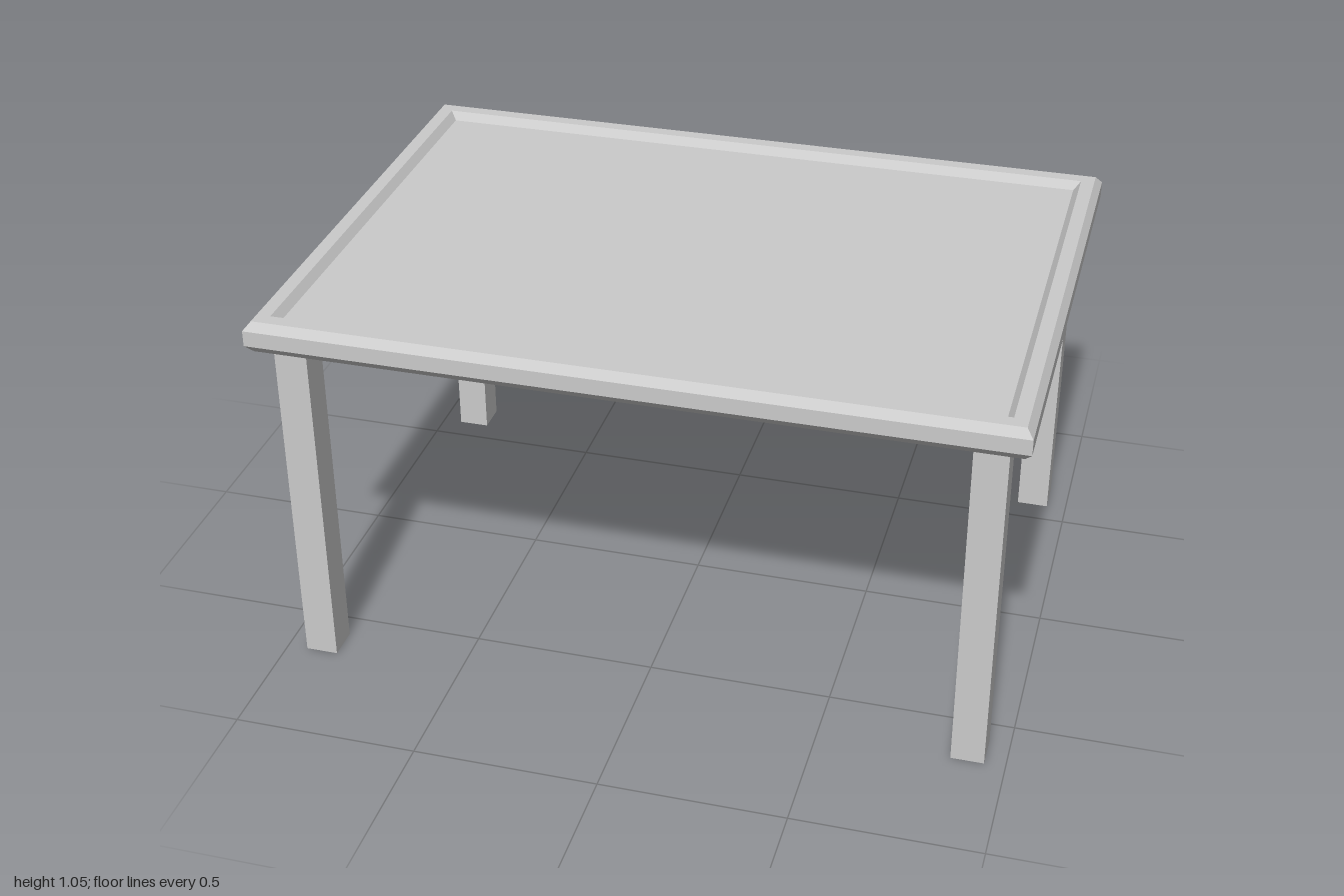
import * as THREE from 'three';

const material = new THREE.MeshStandardMaterial({ color: 0xcccccc, flatShading: true });

// Half-extents and profile of the tabletop
const HALF_X = 1, HALF_Z = 0.715;
const BOTTOM = 0.963, TOP = 1.05, BEVEL = 0.018, RISE = 0.022;

// Stack of mitred rectangles [inset, height], capped at both ends
function rectangularLoft(profile) {
  const corners = [[-1, 1], [1, 1], [1, -1], [-1, -1]];
  const rings = profile.map(([inset, y]) =>
    corners.map(([sx, sz]) => [sx * (HALF_X - inset), y, sz * (HALF_Z - inset)]));
  const positions = [];
  const quad = (a, b, c, d) => positions.push(...a, ...b, ...c, ...a, ...c, ...d);
  for (let i = 0; i < rings.length - 1; i++) {
    for (let k = 0; k < 4; k++) {
      const n = (k + 1) % 4;
      quad(rings[i][k], rings[i][n], rings[i + 1][n], rings[i + 1][k]);
    }
  }
  const first = rings[0], last = rings[rings.length - 1];
  quad(first[3], first[2], first[1], first[0]);
  quad(last[0], last[1], last[2], last[3]);
  const geometry = new THREE.BufferGeometry();
  geometry.setAttribute('position', new THREE.Float32BufferAttribute(positions, 3));
  geometry.computeVertexNormals();
  return geometry;
}

export function createModel() {
  const group = new THREE.Group();
  group.name = 'table';

  // Bevelled top: outer edge, raised rim, then the sunken panel
  const tabletop = new THREE.Mesh(rectangularLoft([
    [BEVEL, BOTTOM],
    [0, BOTTOM + RISE],
    [0, TOP - RISE],
    [BEVEL, TOP],
    [0.055, TOP],
    [0.055 + BEVEL, TOP - RISE],
  ]), material);
  tabletop.name = 'tabletop';
  group.add(tabletop);

  // Four square legs
  const legGeometry = new THREE.BoxGeometry(0.088, BOTTOM, 0.092);
  for (const [z, end] of [[0.618, 'front'], [-0.618, 'back']]) {
    for (const [x, side] of [[0.9, 'Left'], [-0.9, 'Right']]) {
      const leg = new THREE.Mesh(legGeometry, material);
      leg.name = `${end}${side}Leg`;
      leg.position.set(x, BOTTOM / 2, z);
      group.add(leg);
    }
  }
  return group;
}
